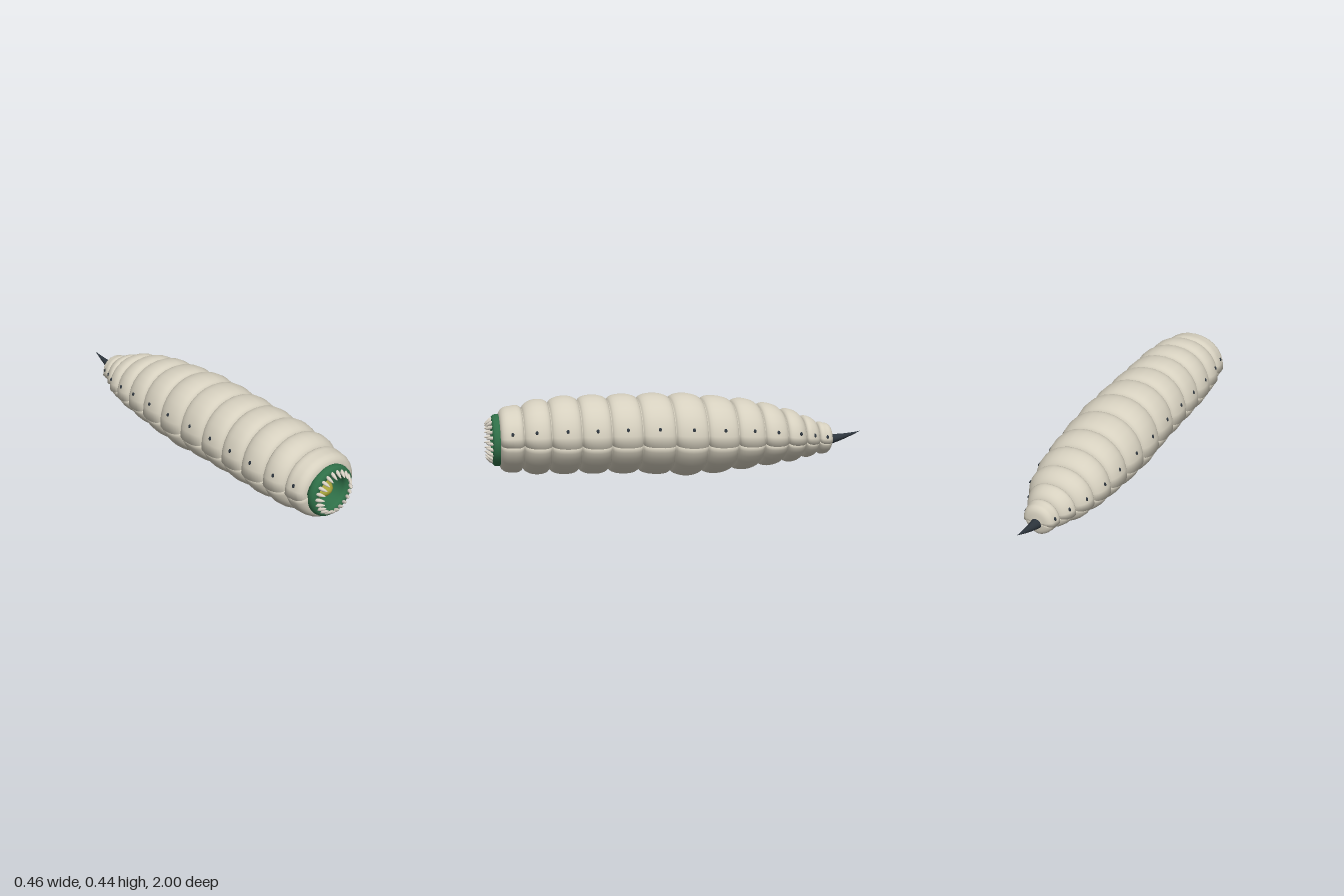
import * as THREE from 'three';

// one row per body segment: z centre, half width, top y, bottom y, side seam y
const SEGMENTS = [
  [0.873, 0.185, 0.40, 0.06, 0.22], [0.755, 0.21, 0.43, 0.045, 0.215],
  [0.602, 0.222, 0.445, 0.04, 0.21], [0.452, 0.223, 0.445, 0.035, 0.205],
  [0.30, 0.225, 0.445, 0.03, 0.205], [0.137, 0.226, 0.445, 0.02, 0.20],
  [-0.037, 0.232, 0.44, 0.003, 0.19], [-0.203, 0.225, 0.42, 0.01, 0.185],
  [-0.36, 0.213, 0.40, 0.025, 0.18], [-0.49, 0.2, 0.37, 0.04, 0.175],
  [-0.62, 0.17, 0.33, 0.055, 0.17], [-0.71, 0.123, 0.29, 0.075, 0.162],
  [-0.79, 0.087, 0.255, 0.088, 0.155],
];
const FRONT = 0.93, BACK = -0.83;
const STEPS = 12, AROUND = 14;
const MOUTH = [-0.007, 0.23];

const mat = (name, color) => {
  const m = new THREE.MeshStandardMaterial({ color });
  m.name = name;
  return m;
};

const shiftX = z => -0.006 * THREE.MathUtils.clamp(z / 0.6, 0, 1);

// body dimensions [width, top, bottom, seam] interpolated between segment centres
function envelope(z) {
  const last = SEGMENTS.length - 1;
  if (z >= SEGMENTS[0][0]) return SEGMENTS[0].slice(1);
  if (z <= SEGMENTS[last][0]) return SEGMENTS[last].slice(1);
  const i = SEGMENTS.findIndex(s => s[0] < z);
  const a = SEGMENTS[i - 1], b = SEGMENTS[i];
  const t = (z - a[0]) / (b[0] - a[0]);
  return a.slice(1).map((v, k) => v + (b[k + 1] - v) * t);
}

// stations along the body, pinched at every segment boundary
function bodyStations() {
  const out = [];
  const n = SEGMENTS.length;
  for (let i = 0; i < n; i++) {
    const z0 = i ? (SEGMENTS[i - 1][0] + SEGMENTS[i][0]) / 2 : FRONT;
    const z1 = i < n - 1 ? (SEGMENTS[i][0] + SEGMENTS[i + 1][0]) / 2 : BACK;
    for (let k = i ? 1 : 0; k <= STEPS; k++) {
      const s = -Math.cos(Math.PI * k / STEPS);
      const z = z0 + (z1 - z0) * (s + 1) / 2;
      const bulge = Math.sqrt(Math.max(0, 1 - Math.abs(s) ** 2.4));
      let groove = 0.034;
      if (i === 0 && s < 0) groove = 0.045;
      if (i === n - 1 && s > 0) groove = 0.045;
      const [w, top, bottom, seam] = envelope(z);
      const g = groove * (1 - bulge);
      out.push({ z, w: w - g, top: top - g, bottom: bottom + g, seam: seam + 0.012 * (1 - bulge) });
    }
  }
  return out;
}

// surface through equal-length rows of points
function loft(rows) {
  const cols = rows[0].length, index = [];
  for (let i = 0; i < rows.length - 1; i++) {
    for (let j = 0; j < cols - 1; j++) {
      const a = i * cols + j, b = a + cols;
      index.push(a, b, a + 1, b, b + 1, a + 1);
    }
  }
  const g = new THREE.BufferGeometry();
  g.setAttribute('position', new THREE.Float32BufferAttribute(rows.flat(2), 3));
  g.setIndex(index);
  g.computeVertexNormals();
  return g;
}

// half shell of the body: upper back (overhanging lip) or lower belly
function shell(upper) {
  const rows = bodyStations().map(s => {
    const cx = shiftX(s.z), row = [];
    const w = upper ? s.w : s.w - 0.01;
    const h = upper ? s.top - s.seam : s.bottom - s.seam;
    const p = upper ? 0.94 : 1.22;
    const tuck = [w - 0.035, s.seam + (upper ? 0.004 : 0.012)];
    row.push([cx + (upper ? tuck[0] : -tuck[0]), tuck[1], s.z]);
    for (let j = 0; j <= AROUND; j++) {
      const a = Math.PI * j / AROUND;
      const c = Math.cos(a), sn = Math.max(0, Math.sin(a));
      const x = Math.sign(c) * Math.abs(c) ** p * w * (upper ? 1 : -1);
      row.push([cx + x, s.seam + h * sn ** p, s.z]);
    }
    row.push([cx + (upper ? -tuck[0] : tuck[0]), tuck[1], s.z]);
    return row;
  });
  // close the tail end
  rows.push(rows[0].map(() => [0, 0.165, BACK - 0.006]));
  return loft(rows);
}

export function createModel() {
  const skin = mat('cream skin', 0xd6d0bf);
  skin.side = THREE.DoubleSide;
  const green = mat('mouth green', 0x2f7048);
  green.side = THREE.DoubleSide;
  const yellow = mat('tongue yellow', 0xa9a53c);
  const ivory = mat('tooth ivory', 0xdad3c6);
  const dark = mat('dark horn', 0x2d353d);

  const model = new THREE.Group();
  const add = (name, geometry, material, parent = model) => {
    const m = new THREE.Mesh(geometry, material);
    m.name = name;
    parent.add(m);
    return m;
  };

  add('upperBody', shell(true), skin);
  add('lowerBody', shell(false), skin);

  // breathing holes along both flanks
  const spots = new THREE.Group();
  spots.name = 'breathingHoles';
  model.add(spots);
  const spotGeo = new THREE.SphereGeometry(0.01, 10, 8);
  for (const [z, w, top, , seam] of SEGMENTS) {
    for (const side of [1, -1]) {
      const a = 0.36;
      const spot = add('breathingHole', spotGeo, dark, spots);
      spot.position.set(shiftX(z) + side * w * Math.cos(a) ** 0.94, seam + (top - seam) * Math.sin(a) ** 0.94, z);
      spot.scale.set(0.4, 1, 0.8);
      spot.rotation.z = side * a;
    }
  }

  // mouth: lip ring and cavity in one turned profile
  const mouth = new THREE.Group();
  mouth.name = 'mouth';
  mouth.position.set(MOUTH[0], MOUTH[1], 0);
  model.add(mouth);
  const profile = [[0, 0.79], [0.05, 0.8], [0.076, 0.84], [0.082, 0.9], [0.083, 0.945], [0.09, 0.96],
    [0.105, 0.968], [0.12, 0.966], [0.13, 0.957], [0.133, 0.94], [0.13, 0.925], [0.115, 0.91]];
  const lip = add('lipAndThroat', new THREE.LatheGeometry(profile.map(p => new THREE.Vector2(...p)).reverse(), 32), green, mouth);
  lip.rotation.x = Math.PI / 2;

  // teeth leaning inwards around the lip
  const toothGeo = new THREE.LatheGeometry(
    [[0, -0.005], [0.0075, 0], [0.0095, 0.014], [0.007, 0.03], [0.003, 0.042], [0, 0.045]]
      .map(p => new THREE.Vector2(...p)), 8);
  const TEETH = 22;
  for (let i = 0; i < TEETH; i++) {
    const a = (i + 0.5) / TEETH * Math.PI * 2 + Math.PI / 2;
    const tooth = add('tooth', toothGeo, ivory, mouth);
    tooth.position.set(Math.cos(a) * 0.112, Math.sin(a) * 0.112, 0.962);
    tooth.quaternion.setFromUnitVectors(new THREE.Vector3(0, 1, 0),
      new THREE.Vector3(-Math.cos(a) * 0.56, -Math.sin(a) * 0.56, 0.83).normalize());
  }

  // tongue with a groove down the middle
  const tongueGeo = new THREE.SphereGeometry(1, 28, 18);
  const tp = tongueGeo.attributes.position;
  for (let i = 0; i < tp.count; i++) {
    const x = tp.getX(i), y = tp.getY(i);
    const dip = y > 0 ? 0.22 * y * Math.exp(-((x / 0.2) ** 2)) : 0;
    tp.setXYZ(i, x * 0.066, (y - dip) * 0.042, tp.getZ(i) * 0.07);
  }
  tongueGeo.computeVertexNormals();
  const tongue = add('tongue', tongueGeo, yellow, mouth);
  tongue.position.set(0.001, -0.021, 0.865);

  // tail horn, curving upwards
  const hornGeo = new THREE.ConeGeometry(0.029, 0.18, 16, 10);
  hornGeo.translate(0, 0.09, 0);
  hornGeo.rotateX(-Math.PI / 2);
  const hp = hornGeo.attributes.position;
  for (let i = 0; i < hp.count; i++) {
    const t = -hp.getZ(i) / 0.18;
    hp.setY(i, hp.getY(i) + 0.02 * t + 0.02 * t * t);
  }
  hornGeo.computeVertexNormals();
  add('tailHorn', hornGeo, dark).position.set(0, 0.163, -0.82);

  return model;
}
